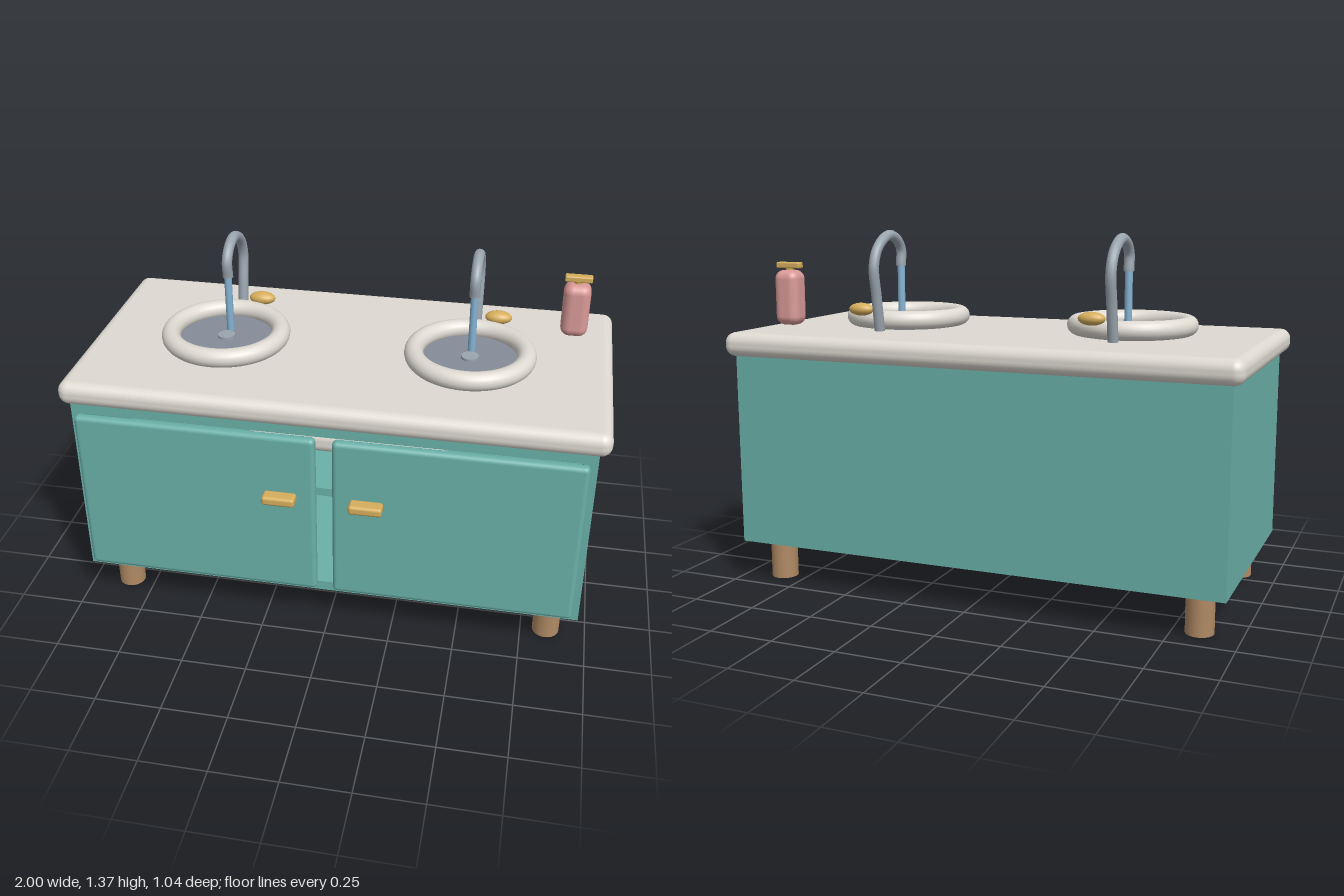
import * as THREE from 'three';
import { RoundedBoxGeometry } from 'three/addons/geometries/RoundedBoxGeometry.js';

const paint = (color) => new THREE.MeshStandardMaterial({ color });
const teal = paint(0x6ab0a8), stone = paint(0xdedad2), wood = paint(0xb08a64), brass = paint(0xd6ae5c);
const steel = paint(0x9aa5ae), basinGrey = paint(0x858c98), waterBlue = paint(0x86b4d4), pink = paint(0xd99a98);

function add(parent, name, geometry, material, x = 0, y = 0, z = 0) {
  const mesh = new THREE.Mesh(geometry, material);
  mesh.name = name;
  mesh.position.set(x, y, z);
  parent.add(mesh);
  return mesh;
}

const box = (w, h, d) => new THREE.BoxGeometry(w, h, d);
const rounded = (w, h, d, r) => new RoundedBoxGeometry(w, h, d, 4, r);

// Hollow carcass with an open front frame, a shelf and folded linen
function makeCabinet() {
  const cabinet = new THREE.Group();
  cabinet.name = 'cabinet';
  for (const s of [-1, 1]) add(cabinet, 'sidePanel', box(0.03, 0.74, 0.915), teal, s * 0.945, 0.53, -0.0275);
  add(cabinet, 'backPanel', box(1.9, 0.74, 0.03), teal, 0, 0.53, -0.47);
  add(cabinet, 'floorPanel', box(1.9, 0.03, 0.915), teal, 0, 0.175, -0.0275);
  add(cabinet, 'topPanel', box(1.9, 0.03, 0.915), teal, 0, 0.885, -0.0275);

  const frame = new THREE.Shape([
    new THREE.Vector2(-0.96, 0.16), new THREE.Vector2(0.96, 0.16),
    new THREE.Vector2(0.96, 0.9), new THREE.Vector2(-0.96, 0.9),
  ]);
  frame.holes.push(new THREE.Path([
    new THREE.Vector2(-0.91, 0.2), new THREE.Vector2(-0.91, 0.86),
    new THREE.Vector2(0.91, 0.86), new THREE.Vector2(0.91, 0.2),
  ]));
  add(cabinet, 'frontFrame', new THREE.ExtrudeGeometry(frame, { depth: 0.03, bevelEnabled: false }), teal, 0, 0, 0.4);

  add(cabinet, 'shelf', box(1.86, 0.035, 0.75), teal, 0, 0.525, -0.08);
  add(cabinet, 'foldedLinen', rounded(0.8, 0.1, 0.3, 0.04), stone, 0, 0.595, -0.08);
  return cabinet;
}

// Raised ring basin with drain, arched tap, water stream and knob
function makeSink() {
  const sink = new THREE.Group();
  sink.name = 'sink';
  const ring = new THREE.TorusGeometry(0.211, 0.036, 20, 64).rotateX(Math.PI / 2);
  add(sink, 'basinRing', ring, stone, 0, 1.028, 0.013);
  add(sink, 'basinFloor', new THREE.CylinderGeometry(0.2, 0.2, 0.02, 48), basinGrey, 0, 1.0, 0.013);
  add(sink, 'drain', new THREE.CylinderGeometry(0.033, 0.033, 0.015, 24), steel, 0, 1.012, 0.013);

  const path = new THREE.CatmullRomCurve3([
    [0.985, -0.235], [1.12, -0.256], [1.24, -0.273], [1.31, -0.238], [1.354, -0.15],
    [1.335, -0.08], [1.295, -0.047], [1.235, -0.05],
  ].map(([y, z]) => new THREE.Vector3(0, y, z)));
  add(sink, 'tap', new THREE.TubeGeometry(path, 48, 0.02, 14), steel);
  add(sink, 'tapMouth', new THREE.CylinderGeometry(0.02, 0.02, 0.006, 14), steel, 0, 1.235, -0.05);
  add(sink, 'waterStream', new THREE.CylinderGeometry(0.0145, 0.0145, 0.23, 14), waterBlue, 0, 1.12, -0.048);

  const knob = new THREE.SphereGeometry(1, 24, 16).scale(0.052, 0.025, 0.032);
  add(sink, 'tapKnob', knob, brass, 0.085, 1.07, -0.225);
  return sink;
}

// Soap bottle with a bar-shaped pump
function makeBottle() {
  const bottle = new THREE.Group();
  bottle.name = 'soapBottle';
  add(bottle, 'bottleBody', rounded(0.104, 0.215, 0.096, 0.035), pink, 0, 1.111, 0);
  add(bottle, 'bottleNeck', new THREE.CylinderGeometry(0.015, 0.015, 0.03, 16), brass, 0, 1.222, 0);
  add(bottle, 'pumpBar', rounded(0.104, 0.024, 0.035, 0.006), brass, 0, 1.237, 0);
  bottle.position.set(0.843, 0, -0.273);
  return bottle;
}

export function createModel() {
  const model = new THREE.Group();
  model.name = 'doubleVanity';
  model.add(makeCabinet());
  add(model, 'countertop', rounded(2, 0.092, 0.98, 0.04), stone, 0, 0.944, -0.03);

  // Legs
  for (const x of [-0.848, 0.848]) {
    for (const z of [0.313, -0.372]) {
      add(model, 'leg', new THREE.CylinderGeometry(0.052, 0.052, 0.16, 24), wood, x, 0.08, z);
    }
  }

  // Doors and handles
  for (const s of [-1, 1]) {
    add(model, 'door', rounded(0.906, 0.675, 0.042, 0.018), teal, s * 0.484 - 0.003, 0.527, 0.449);
    add(model, 'doorHandle', rounded(0.124, 0.036, 0.056, 0.012), brass, s * 0.161 - 0.003, 0.614, 0.492);
  }

  // Sinks
  for (const s of [-1, 1]) {
    const sink = makeSink();
    sink.position.x = s * 0.471 - 0.003;
    model.add(sink);
  }

  model.add(makeBottle());
  return model;
}
